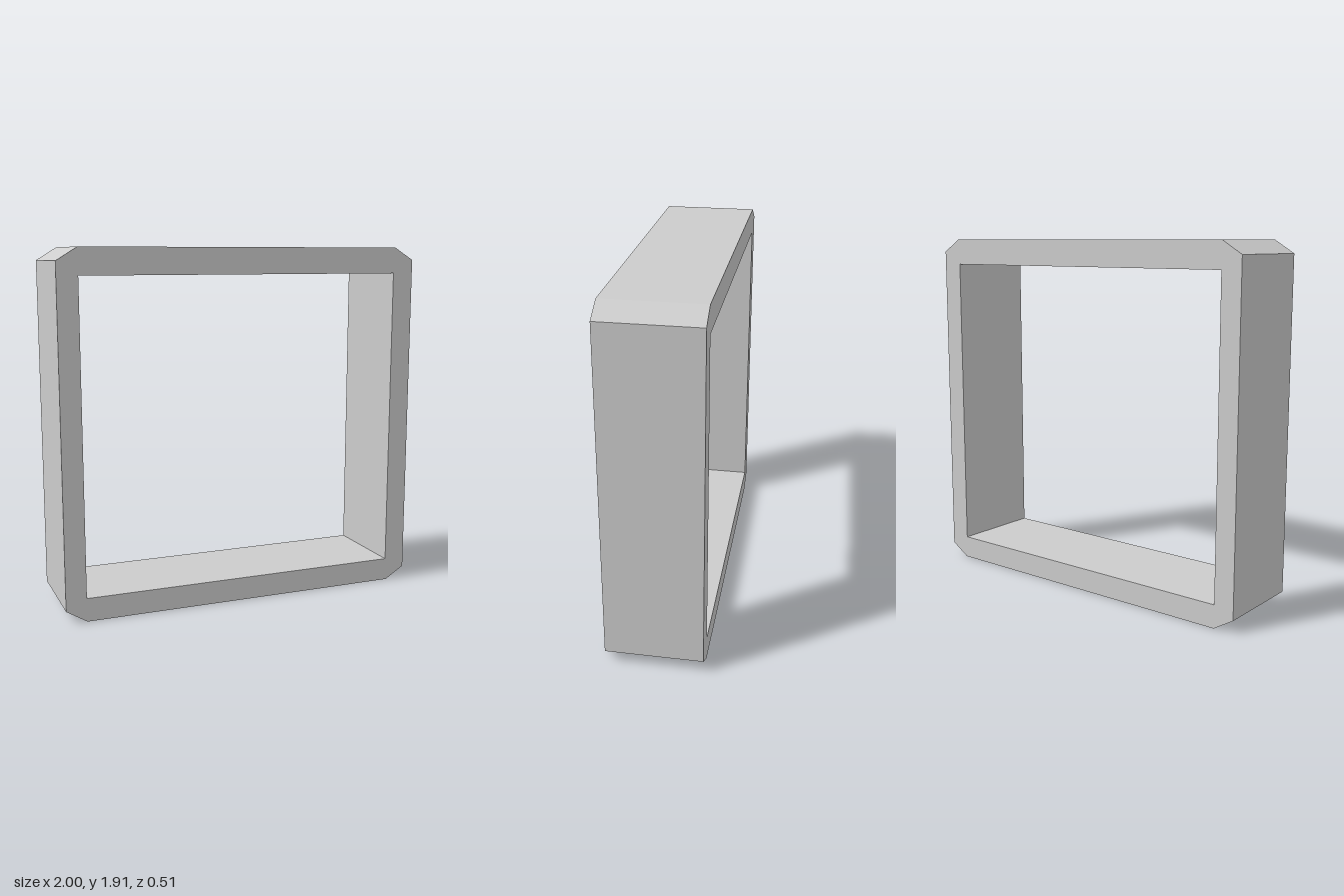
import * as THREE from 'three';

// Square frame with chamfered outer corners and a rectangular opening
export function createModel() {
  const group = new THREE.Group();
  group.name = 'squareFrame';

  const height = 1.914, depth = 0.508;
  const chamferX = 0.11, chamferY = 0.068;
  const left = -0.89, right = 0.882, bottom = 0.125, top = 1.774;

  // Outer outline, counter-clockwise
  const outline = new THREE.Shape([
    [-1 + chamferX, 0], [1 - chamferX, 0],
    [1, chamferY], [1, height - chamferY],
    [1 - chamferX, height], [-1 + chamferX, height],
    [-1, height - chamferY], [-1, chamferY],
  ].map(([x, y]) => new THREE.Vector2(x, y)));

  // Opening, clockwise
  outline.holes.push(new THREE.Path([
    [left, bottom], [left, top], [right, top], [right, bottom],
  ].map(([x, y]) => new THREE.Vector2(x, y))));

  const geometry = new THREE.ExtrudeGeometry(outline, { depth, bevelEnabled: false });
  geometry.translate(0, 0, -depth / 2);

  const frame = new THREE.Mesh(
    geometry,
    new THREE.MeshStandardMaterial({ color: 0xcccccc, flatShading: true }),
  );
  frame.name = 'frame';
  group.add(frame);
  return group;
}
